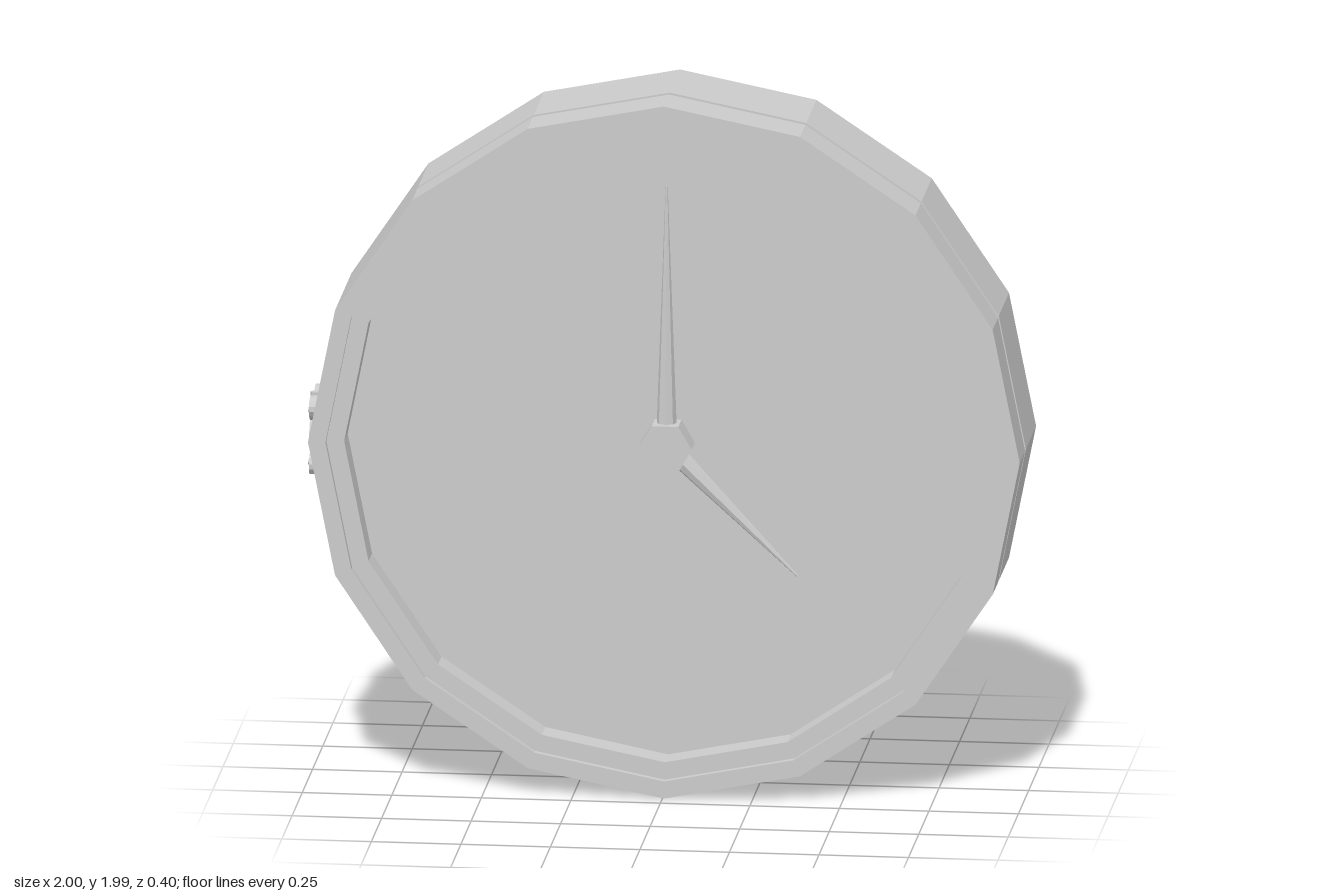
import * as THREE from 'three';

const R = 0.994, CX = 0.004, CY = 0.996;
const SIDES = 16;

export function createModel() {
  const clock = new THREE.Group();
  clock.name = 'wallClock';
  const mat = new THREE.MeshStandardMaterial({ color: 0xcccccc, flatShading: true });

  const add = (name, geometry, x, y, z, parent = clock) => {
    const mesh = new THREE.Mesh(geometry, mat);
    mesh.name = name;
    mesh.position.set(x, y, z);
    parent.add(mesh);
    return mesh;
  };

  // Solid rear case
  add('rearCase', new THREE.CylinderGeometry(R, R, 0.25, SIDES).rotateX(Math.PI / 2), CX, CY, -0.075);

  // Front cover: closed back, rim with a shallow step, recessed dial (radius, depth)
  const profile = [
    [0, 0.07], [R, 0.07], [R, 0.2], [0.945, 0.2],
    [0.945, 0.18], [0.895, 0.18], [0.895, 0.095], [0, 0.095],
  ].map(([r, z]) => new THREE.Vector2(r, z));
  add('bezelAndDial', new THREE.LatheGeometry(profile, SIDES).rotateX(Math.PI / 2), CX, CY, 0);

  // Hexagonal hub
  const hub = new THREE.CylinderGeometry(0.075, 0.075, 0.085, 6).rotateY(Math.PI / 2).rotateX(Math.PI / 2);
  add('handHub', hub, CX, 0.999, 0.1325);

  // Tapered hands pointing out from the hub
  const hand = (name, length, angle) => {
    const g = new THREE.CylinderGeometry(0.003, 0.03, length, 8).translate(0, length / 2, 0);
    add(name, g, CX, 0.999, 0.13).rotation.z = angle;
  };
  hand('minuteHand', 0.743, 0);
  hand('hourHand', 0.516, -Math.PI * 0.75);

  // Hinge on the side, joining case and cover across the gap
  const hinge = new THREE.Group();
  hinge.name = 'hinge';
  hinge.position.set(0, CY, 0.057);
  clock.add(hinge);

  for (const s of [1, -1]) {
    // Scalloped leaf
    const leaf = new THREE.Shape();
    leaf.moveTo(0, -0.1);
    leaf.lineTo(s * 0.03, -0.1);
    leaf.quadraticCurveTo(s * 0.06, -0.12, s * 0.09, -0.105);
    leaf.quadraticCurveTo(s * 0.122, -0.075, s * 0.075, -0.045);
    leaf.quadraticCurveTo(s * 0.115, 0, s * 0.075, 0.045);
    leaf.quadraticCurveTo(s * 0.122, 0.075, s * 0.09, 0.105);
    leaf.quadraticCurveTo(s * 0.06, 0.12, s * 0.03, 0.1);
    leaf.lineTo(0, 0.1);
    const g = new THREE.ExtrudeGeometry(leaf, { depth: 0.025, bevelEnabled: false, curveSegments: 4 });
    add('hingeLeaf', g.rotateY(-Math.PI / 2), -0.967, 0, 0, hinge);

    // Screw heads
    for (const [u, y] of [[0.075, 0.075], [0.06, 0], [0.075, -0.075]]) {
      add('hingeScrew', new THREE.CylinderGeometry(0.009, 0.009, 0.006, 6).rotateZ(Math.PI / 2),
        -0.993, y, s * u, hinge);
    }
  }
  // Barrel
  add('hingeBarrel', new THREE.CylinderGeometry(0.013, 0.013, 0.215, 8), -0.986, 0, 0, hinge);

  return clock;
}
